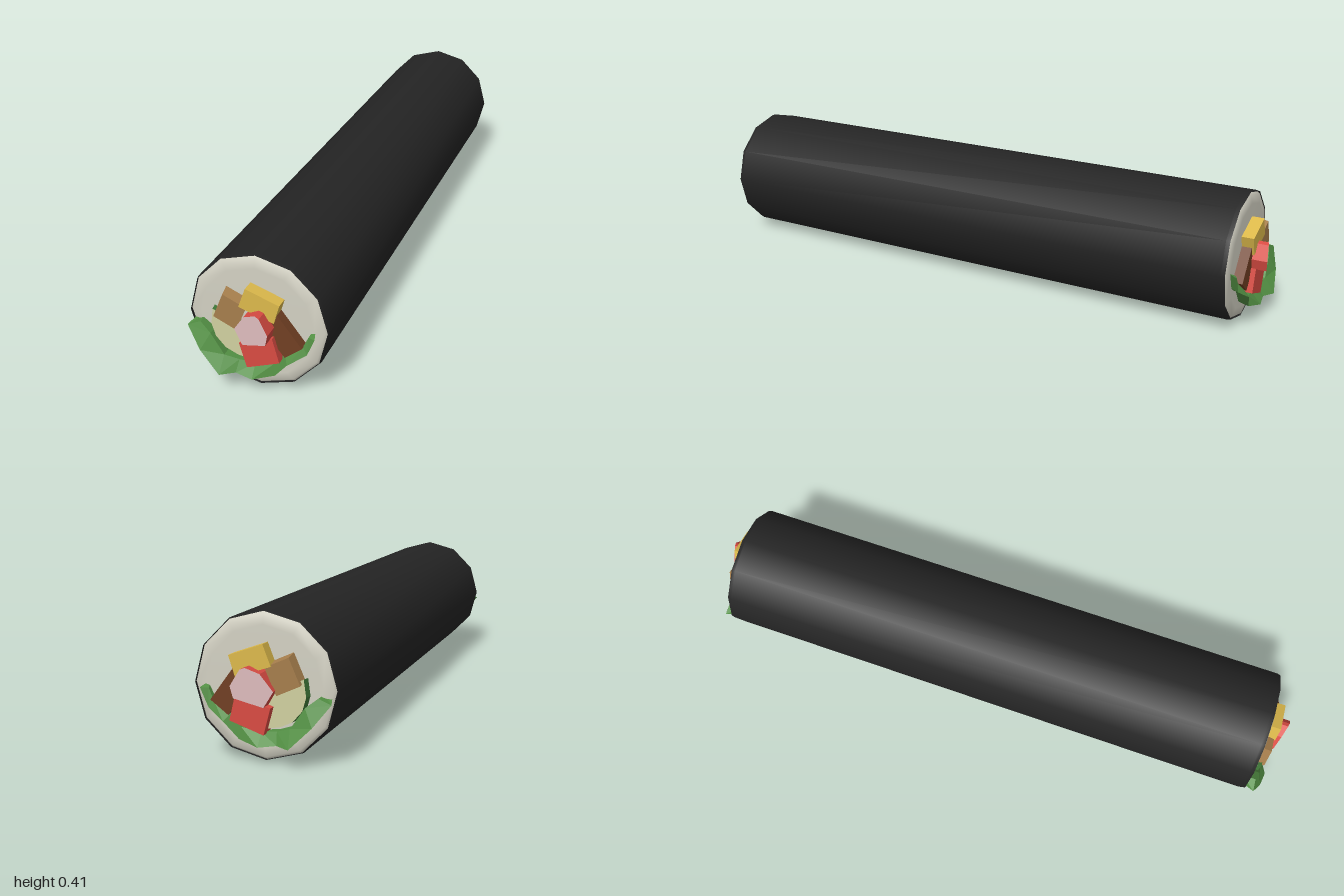
import * as THREE from 'three';

const mat = (name, color) => Object.assign(new THREE.MeshStandardMaterial({ color }), { name });

const CENTRE_Y = 0.205;
const BASE_Z = 0.9; // fillings are rooted just inside the rice

// Reverse a non-indexed geometry through z so it can sit at the back end
function mirrorZ(geometry) {
  const g = geometry.clone();
  const p = g.attributes.position;
  const a = new THREE.Vector3(), b = new THREE.Vector3();
  g.scale(1, 1, -1);
  for (let i = 0; i < p.count; i += 3) {
    a.fromBufferAttribute(p, i + 1);
    b.fromBufferAttribute(p, i + 2);
    p.setXYZ(i + 1, b.x, b.y, b.z);
    p.setXYZ(i + 2, a.x, a.y, a.z);
  }
  g.computeVertexNormals();
  return g;
}

// A chunk cut from an outline; its front end may be shifted and slanted
function chunk(points, frontZ, { shift = [0, 0], slant = 0 } = {}) {
  const shape = new THREE.Shape(points.map(([x, y]) => new THREE.Vector2(x, y)));
  const g = new THREE.ExtrudeGeometry(shape, { depth: 1, bevelEnabled: false });
  const p = g.attributes.position;
  for (let i = 0; i < p.count; i++) {
    const front = p.getZ(i) > 0.5;
    const x = p.getX(i), y = p.getY(i);
    if (front) p.setXYZ(i, x + shift[0], y + shift[1], frontZ + slant * x);
    else p.setZ(i, BASE_Z);
  }
  g.computeVertexNormals();
  return g;
}

// Leaf: a thick ribbon lofted through [outer x, outer y, inner x, inner y, outer z, inner z]
function leaf(stations) {
  const pos = [];
  const rings = stations.map(([ox, oy, ix, iy, oz, iz]) => [
    [ox, oy, oz], [ix, iy, iz], [ix, iy, BASE_Z], [ox * 0.93, oy + 0.012, BASE_Z],
  ]);
  const quad = (a, b, c, d) => pos.push(...a, ...b, ...c, ...a, ...c, ...d);
  for (let i = 0; i < rings.length - 1; i++) {
    for (let k = 0; k < 4; k++) {
      const n = (k + 1) % 4;
      quad(rings[i][k], rings[i + 1][k], rings[i + 1][n], rings[i][n]);
    }
  }
  const first = rings[0], last = rings[rings.length - 1];
  quad(first[0], first[1], first[2], first[3]);
  quad(last[3], last[2], last[1], last[0]);
  const g = new THREE.BufferGeometry();
  g.setAttribute('position', new THREE.Float32BufferAttribute(pos, 3));
  g.computeVertexNormals();
  return g;
}

export function createModel() {
  const model = new THREE.Group();
  model.name = 'riceRoll';

  const seaweed = mat('seaweed', 0x242424);
  const rice = mat('rice', 0xd2d0c2);
  const lettuce = mat('lettuce', 0x539044);
  const skin = mat('cucumberSkin', 0x427c3a);
  const flesh = mat('cucumberFlesh', 0xd0d0a0);
  const yellow = mat('pickleYellow', 0xdcb94b);
  const tan = mat('tan', 0xa67e4c);
  const brown = mat('brown', 0x713f23);
  const red = mat('red', 0xd84b42);
  const pink = mat('pink', 0xe0bdbf);
  lettuce.side = THREE.DoubleSide;
  seaweed.side = THREE.DoubleSide;

  // Twelve-sided bodies of revolution lying along z
  const turned = (name, profile, material) => {
    const g = new THREE.LatheGeometry(profile.map(([r, h]) => new THREE.Vector2(r, h)), 12);
    g.rotateX(Math.PI / 2);
    const mesh = new THREE.Mesh(g, material);
    mesh.name = name;
    mesh.position.y = CENTRE_Y;
    model.add(mesh);
  };
  turned('seaweedWrap', [[0.2, -0.917], [0.203, -0.905], [0.203, 0.905], [0.2, 0.917]], seaweed);
  // Rice end faces with a softly rounded rim
  for (const s of [-1, 1]) {
    const end = [[0.2, 0.908], [0.192, 0.918], [0.165, 0.923], [0, 0.923]];
    const profile = end.map(([r, h]) => [r, h * s]);
    turned(s > 0 ? 'riceFront' : 'riceBack', s > 0 ? profile : profile.reverse(), rice);
  }

  // Fillings: name, geometry, material or [end, sides]
  const fillings = [
    ['lettuceLeaf', leaf([
      [-0.195, 0.176, -0.158, 0.19, 0.95, 0.945],
      [-0.15, 0.118, -0.125, 0.165, 0.975, 0.955],
      [-0.09, 0.06, -0.085, 0.108, 0.99, 0.96],
      [-0.05, 0.062, -0.045, 0.095, 0.968, 0.95],
      [0, 0.055, 0, 0.09, 0.975, 0.945],
      [0.06, 0.068, 0.055, 0.1, 0.955, 0.95],
      [0.1, 0.115, 0.085, 0.135, 0.965, 0.94],
      [0.15, 0.145, 0.138, 0.167, 0.945, 0.94],
      [0.173, 0.197, 0.152, 0.195, 0.945, 0.935],
    ]), lettuce],
    ['cucumberWedge', chunk([
      [-0.127, 0.237], [-0.133, 0.19], [-0.122, 0.153], [-0.095, 0.122],
      [-0.06, 0.106], [-0.025, 0.1], [0.0, 0.19], [-0.055, 0.207],
    ], 0.945, { shift: [0.008, 0] }), [flesh, skin]],
    ['tanStrip', chunk([
      [-0.118, 0.235], [-0.087, 0.308], [-0.02, 0.278], [-0.052, 0.205],
    ], 0.955, { shift: [0.005, -0.014] }), tan],
    ['yellowStrip', chunk([
      [-0.013, 0.326], [0.083, 0.292], [0.065, 0.235], [-0.035, 0.268],
    ], 0.96), yellow],
    ['brownStrip', chunk([
      [0.07, 0.262], [0.14, 0.168], [0.09, 0.13], [0.03, 0.205],
    ], 0.953), brown],
    ['crabStick', chunk([
      [-0.012, 0.252], [0.025, 0.268], [0.038, 0.263], [0.063, 0.22],
      [0.055, 0.188], [-0.02, 0.163], [-0.045, 0.205],
    ], 0.983, { slant: 0.26 }), [pink, red]],
    ['redStrip', chunk([
      [-0.035, 0.16], [0.062, 0.192], [0.08, 0.12], [-0.015, 0.087],
    ], 0.968), red],
  ];

  // The same fillings poke out of both ends
  for (const end of ['front', 'back']) {
    const group = new THREE.Group();
    group.name = end + 'Fillings';
    for (const [name, geometry, material] of fillings) {
      const mesh = new THREE.Mesh(end === 'front' ? geometry : mirrorZ(geometry), material);
      mesh.name = name;
      group.add(mesh);
    }
    model.add(group);
  }
  return model;
}
